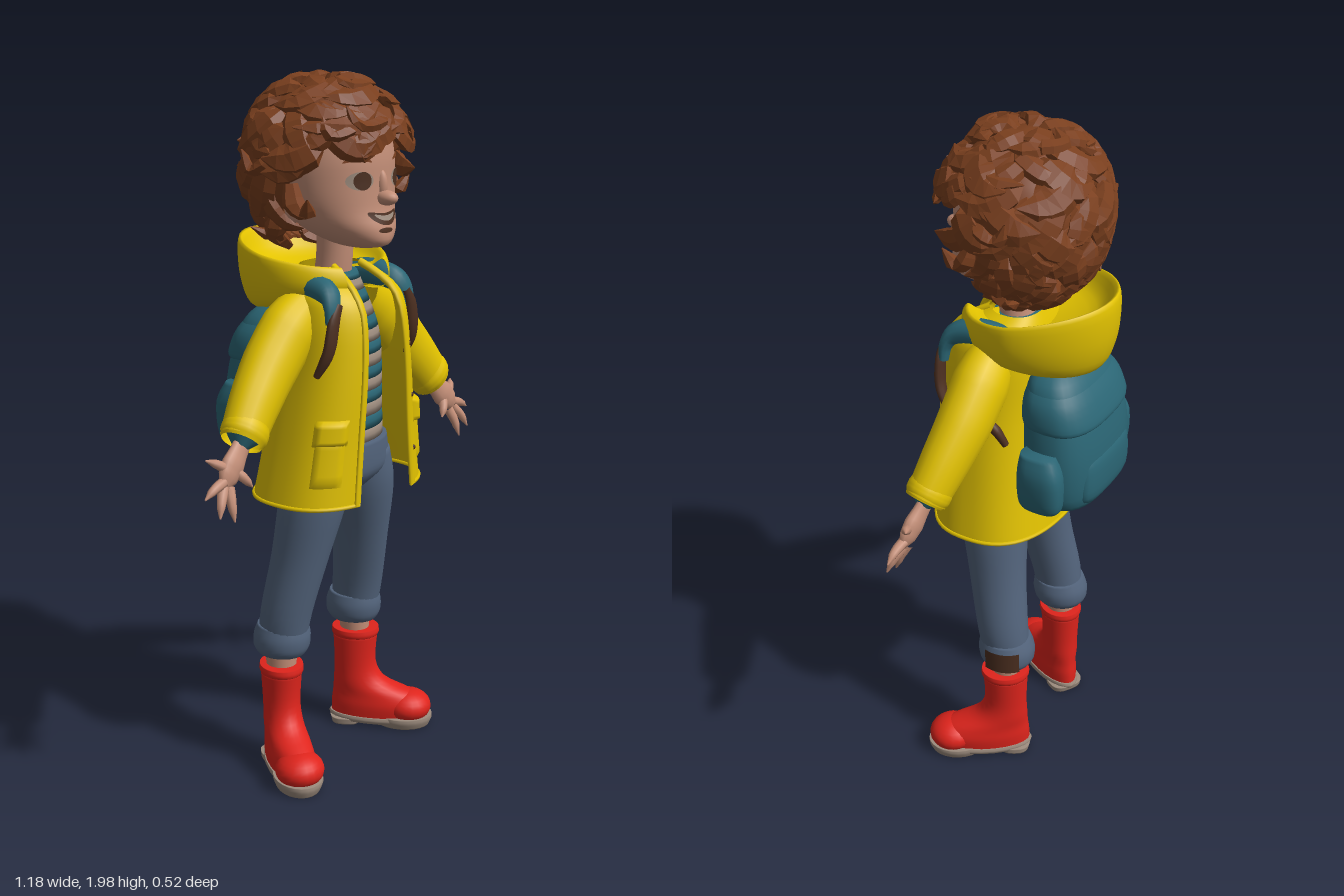
import * as THREE from 'three';
import { mergeVertices, mergeGeometries } from 'three/addons/utils/BufferGeometryUtils.js';

const { lerp, clamp, smoothstep } = THREE.MathUtils;
const PI = Math.PI, sin = Math.sin, cos = Math.cos;
const V = (x, y, z) => new THREE.Vector3(x, y, z);
const pow = (s, e) => Math.sign(s) * Math.abs(s) ** e;

function paint(name, color, side = THREE.FrontSide) {
  const m = new THREE.MeshStandardMaterial({ color, side });
  m.name = name;
  return m;
}

// Weld the seams and smooth the normals
function finish(g) {
  g.deleteAttribute('uv');
  g.deleteAttribute('normal');
  const out = mergeVertices(g, 1e-4);
  out.computeVertexNormals();
  return out;
}

// Surface from a rule; u runs upward, v runs anticlockwise seen from above
function grid(nu, nv, fn) {
  const pos = [], idx = [], w = nv + 1;
  for (let i = 0; i <= nu; i++) for (let j = 0; j <= nv; j++) pos.push(...fn(i / nu, j / nv).toArray());
  for (let i = 0; i < nu; i++) for (let j = 0; j < nv; j++) {
    const a = i * w + j;
    idx.push(a, a + 1, a + w, a + 1, a + w + 1, a + w);
  }
  const g = new THREE.BufferGeometry();
  g.setAttribute('position', new THREE.Float32BufferAttribute(pos, 3));
  g.setIndex(idx);
  return finish(g);
}

// Smooth interpolation through a list of stations
function at(S, t) {
  const n = S.length - 1, f = clamp(t, 0, 1) * n, i = Math.min(Math.floor(f), n - 1), k = f - i;
  const p = (q) => S[clamp(q, 0, n)];
  return S[0].map((_, c) => {
    const a = p(i - 1)[c], b = p(i)[c], d = p(i + 1)[c], e = p(i + 2)[c];
    const m0 = (d - a) / 2, m1 = (e - b) / 2;
    return (2 * k ** 3 - 3 * k * k + 1) * b + (k ** 3 - 2 * k * k + k) * m0 + (3 * k * k - 2 * k ** 3) * d + (k ** 3 - k * k) * m1;
  });
}

// Closed body through level rings: [y, centre x, centre z, half width, half depth]
function column(S, { e = 1, t0 = 0, t1 = 1, n = 24, rows = (S.length - 1) * 4 } = {}) {
  return grid(rows + 2, n, (u, v) => {
    const r = Math.round(u * (rows + 2)), a = v * 2 * PI;
    const [y, cx, cz, rx, rz] = at(S, lerp(t0, t1, clamp((r - 1) / rows, 0, 1)));
    const k = r === 0 || r === rows + 2 ? 0 : 1;
    return V(cx + k * rx * pow(sin(a), e), y, cz + k * rz * pow(cos(a), e));
  });
}

// Tube with changing radius, flattened along one axis
function sweep(points, radii, { flat = 1, axis = V(0, 0, 1), seg = 14, sides = 12 } = {}) {
  const curve = new THREE.CatmullRomCurve3(points);
  const g = new THREE.TubeGeometry(curve, seg, 1, sides), p = g.attributes.position, q = V();
  for (let i = 0; i < p.count; i++) {
    const t = Math.floor(i / (sides + 1)) / seg, f = t * (radii.length - 1), k = Math.min(Math.floor(f), radii.length - 2);
    const c = curve.getPointAt(t);
    q.fromBufferAttribute(p, i).sub(c).multiplyScalar(lerp(radii[k], radii[k + 1], f - k));
    q.addScaledVector(axis, -q.dot(axis) * (1 - flat)).add(c);
    p.setXYZ(i, q.x, q.y, q.z);
  }
  return finish(g);
}

function mirrored(g) {
  const m = g.clone().scale(-1, 1, 1), a = m.index.array;
  for (let i = 0; i < a.length; i += 3) [a[i], a[i + 1]] = [a[i + 1], a[i]];
  m.computeVertexNormals();
  return m;
}

export function createModel() {
  const model = new THREE.Group();
  const skin = paint('skin', 0xc48f78), hairBrown = paint('hair brown', 0x7a3f1e, THREE.DoubleSide);
  const yellow = paint('coat yellow', 0xe2c200, THREE.DoubleSide), teal = paint('teal', 0x2b6675);
  const denim = paint('denim', 0x53647c), red = paint('boot red', 0xdf241c);
  const tan = paint('tan', 0x9d8c7e), dark = paint('dark brown', 0x4c2f20);
  const add = (name, geo, mat) => {
    const m = new THREE.Mesh(geo, mat);
    m.name = name;
    model.add(m);
  };
  const pair = (name, geo, mat) => {
    add('left ' + name, geo, mat);
    add('right ' + name, mirrored(geo), mat);
  };
  const ball = (x, y, z, rx, ry, rz) => finish(new THREE.SphereGeometry(1, 20, 14).scale(rx, ry, rz).translate(x, y, z));

  // Boots, toes turned out
  const place = (g) => g.rotateY(0.55).translate(0.174, 0, -0.008);
  pair('boot', place(column([[0.025, 0, 0.075, 0.06, 0.148], [0.065, 0, 0.078, 0.064, 0.15], [0.1, 0, 0.06, 0.06, 0.128],
    [0.14, 0, 0.016, 0.056, 0.082], [0.2, 0, 0, 0.054, 0.064], [0.305, 0, 0, 0.06, 0.069]])), red);
  pair('boot toe', place(ball(0, 0.058, 0.165, 0.071, 0.05, 0.072)), red);
  pair('boot rim', place(column([[0.292, 0, 0, 0.061, 0.07], [0.302, 0, 0, 0.064, 0.073], [0.316, 0, 0, 0.062, 0.071]])), red);
  pair('sole', place(column([[0.012, 0, 0.08, 0.062, 0.155], [0.022, 0, 0.08, 0.066, 0.16], [0.032, 0, 0.08, 0.064, 0.157]])), tan);
  pair('heel', place(column([[0, 0, -0.025, 0.052, 0.045], [0.02, 0, -0.025, 0.054, 0.05]], { e: 0.7 })), tan);
  pair('tread', place(column([[0, 0, 0.15, 0.062, 0.082], [0.02, 0, 0.15, 0.07, 0.09], [0.034, 0, 0.15, 0.07, 0.09]])), tan);

  // Ankles, trousers and rolled cuffs
  pair('ankle', column([[0.28, 0.172, -0.01, 0.042, 0.044], [0.4, 0.17, -0.01, 0.046, 0.048]]), skin);
  pair('trouser leg', column([[0.37, 0.167, -0.01, 0.064, 0.072], [0.48, 0.165, 0.005, 0.072, 0.077], [0.65, 0.138, 0.035, 0.078, 0.086],
    [0.82, 0.108, 0.058, 0.094, 0.1], [0.93, 0.085, 0.06, 0.09, 0.1]]), denim);
  pair('trouser cuff', column([[0.352, 0.168, -0.012, 0.066, 0.072], [0.372, 0.168, -0.012, 0.078, 0.083], [0.405, 0.167, -0.01, 0.08, 0.085], [0.44, 0.166, -0.007, 0.07, 0.076]]), denim);
  add('cuff patch', grid(4, 8, (u, v) => {
    const a = lerp(1.25, 2.5, v);
    return V(0.168 + 0.084 * sin(a), lerp(0.362, 0.43, u), -0.011 + 0.089 * cos(a));
  }), dark);
  add('trouser waist', column([[0.84, 0, 0.06, 0.09, 0.08], [0.88, 0, 0.06, 0.185, 0.11], [0.93, 0, 0.06, 0.18, 0.117], [0.975, 0, 0.06, 0.17, 0.117]]), denim);

  // Striped shirt, one band per stripe, teal at the collar
  const shirt = [[0.92, 0, 0.06, 0.165, 0.1], [1.1, 0, 0.058, 0.15, 0.108], [1.28, 0, 0.05, 0.145, 0.105], [1.45, 0, 0.037, 0.075, 0.066]];
  for (let i = 0; i < 16; i++) add('shirt stripe', column(shirt, { t0: i / 16, t1: (i + 1) / 16, rows: 2 }), i % 2 ? teal : tan);
  add('neck', column([[1.4, 0, 0.03, 0.06, 0.055], [1.48, 0, 0.045, 0.052, 0.05], [1.6, 0, 0.05, 0.052, 0.055]]), skin);

  // Open coat: [y, centre z, half width, half depth, half opening]
  const coatRings = [[0.835, 0.06, 0.268, 0.183, 0.12], [1.0, 0.07, 0.235, 0.17, 0.105], [1.2, 0.08, 0.2, 0.16, 0.09],
    [1.35, 0.075, 0.185, 0.15, 0.08], [1.42, 0.06, 0.165, 0.12, 0.075], [1.47, 0.03, 0.09, 0.07, 0.055]];
  const coatEdge = (u) => { const r = at(coatRings, u); return Math.asin((r[4] / r[2]) ** 1.25); };
  const coat = (u, a, off = 0) => {
    const [y, cz, rx, rz] = at(coatRings, u);
    return V((rx + off) * pow(sin(a), 0.8), y, cz + (rz + off) * pow(cos(a), 0.8));
  };
  add('coat body', grid(24, 48, (u, v) => { const a = coatEdge(u); return coat(u, lerp(a, 2 * PI - a, v)); }), yellow);
  const steps = (n, fn) => Array.from({ length: n + 1 }, (_, i) => fn(i / n));
  pair('coat placket', sweep(steps(8, (t) => coat(t, coatEdge(t) + 0.03)), [0.012, 0.012], { flat: 0.5, seg: 20, sides: 8 }), yellow);
  add('coat hem', sweep(steps(24, (t) => coat(0.005, lerp(coatEdge(0), 2 * PI - coatEdge(0), t))), [0.006, 0.006], { seg: 60, sides: 6 }), yellow);
  const pad = (u0, u1, a0, a1, h) => grid(8, 8, (u, v) => {
    const edge = Math.min(u, 1 - u, v, 1 - v);
    return coat(lerp(u0, u1, u), lerp(a0, a1, v), h * Math.min(1, edge * 8));
  });
  pair('coat pocket', pad(0.09, 0.24, 0.66, 1.15, 0.008), yellow);
  pair('pocket flap', pad(0.21, 0.28, 0.62, 1.2, 0.016), yellow);
  for (const u of [0.14, 0.3, 0.46]) {
    const p = coat(u, coatEdge(u) + 0.1, 0.004);
    add('coat button', ball(p.x, p.y, p.z, 0.007, 0.007, 0.005), dark);
  }

  // Turned-down pointed hood: rows of [half width, front z, back z, front y, back y]
  const hood = [[0.09, 0.1, -0.08, 1.41, 1.36], [0.175, 0.165, -0.2, 1.405, 1.33], [0.21, 0.185, -0.245, 1.435, 1.42],
    [0.212, 0.165, -0.243, 1.475, 1.545], [0.17, 0.13, -0.18, 1.46, 1.47], [0.075, 0.085, -0.03, 1.46, 1.42]];
  add('hood', grid(25, 40, (u, v) => {
    const a = lerp(0.45, 2 * PI - 0.45, v), [rx, zf, zb, yf, yb] = at(hood, u), c = cos(a) < 0 ? pow(cos(a), 1.3) : cos(a);
    return V(rx * sin(a), lerp(yf, yb, (1 - c) / 2), (zf + zb) / 2 + (zf - zb) / 2 * c);
  }), yellow);

  // Sleeves, shirt cuffs and hands
  pair('sleeve', sweep([V(0.1, 1.37, 0.05), V(0.18, 1.32, 0.045), V(0.27, 1.235, 0.048), V(0.36, 1.14, 0.064), V(0.425, 1.063, 0.08)],
    [0.075, 0.09, 0.086, 0.077, 0.066], { seg: 20, sides: 18, flat: 0.84 }), yellow);
  pair('sleeve band', sweep([V(0.395, 1.099, 0.074), V(0.43, 1.058, 0.082)], [0.066, 0.07, 0.069, 0.06], { seg: 9, sides: 18, flat: 0.88 }), yellow);
  pair('shirt cuff', sweep([V(0.38, 1.115, 0.07), V(0.438, 1.048, 0.084)], [0.055, 0.05, 0.047, 0.02], { seg: 9 }), teal);
  pair('palm', sweep([V(0.42, 1.06, 0.08), V(0.47, 1.01, 0.09), V(0.525, 0.955, 0.1)], [0.03, 0.033, 0.04, 0.034, 0.008], { flat: 0.55, seg: 12 }), skin);
  const fingers = [[0.49, 1.0, 0.548, 1.035, 0.065], [0.515, 0.975, 0.588, 0.945, 0.1], [0.515, 0.96, 0.56, 0.892, 0.125],
    [0.495, 0.955, 0.51, 0.872, 0.13], [0.465, 0.99, 0.43, 0.945, 0.12]];
  for (const [x0, y0, x1, y1, z] of fingers) {
    pair('finger', sweep([V(x0, y0, 0.097), V((x0 + x1) / 2 + 0.003, (y0 + y1) / 2 + 0.004, (z + 0.1) / 2), V(x1, y1, z)],
      [0.015, 0.014, 0.011, 0.002], { seg: 9, sides: 8 }), skin);
  }

  // Backpack with pockets, lid and straps
  add('backpack', column([[0.925, 0, -0.15, 0.1, 0.06], [0.965, 0, -0.148, 0.175, 0.1], [1.1, 0, -0.145, 0.19, 0.11],
    [1.24, 0, -0.132, 0.172, 0.098], [1.32, 0, -0.115, 0.14, 0.075], [1.365, 0, -0.1, 0.06, 0.03]], { e: 0.75, n: 32 }), teal);
  add('backpack lid', column([[1.19, 0, -0.138, 0.172, 0.105], [1.21, 0, -0.138, 0.184, 0.112], [1.28, 0, -0.125, 0.168, 0.094], [1.35, 0, -0.105, 0.1, 0.05]], { e: 0.75, n: 32 }), teal);
  add('backpack front pocket', column([[0.945, 0, -0.215, 0.09, 0.02], [0.985, 0, -0.225, 0.13, 0.035], [1.08, 0, -0.225, 0.125, 0.036], [1.12, 0, -0.22, 0.1, 0.02]], { e: 0.75 }), teal);
  pair('backpack side pocket', column([[0.955, 0.18, -0.14, 0.025, 0.04], [0.985, 0.195, -0.14, 0.04, 0.062], [1.08, 0.2, -0.14, 0.042, 0.065], [1.14, 0.19, -0.13, 0.032, 0.05]], { e: 0.75 }), teal);
  pair('shoulder strap', sweep([V(0.12, 1.4, -0.05), V(0.135, 1.43, 0.05), coat(0.78, 0.95, 0.006), coat(0.68, 0.95, 0.01), coat(0.58, 1.0, 0.008)],
    [0.034, 0.036, 0.038, 0.034, 0.022], { flat: 0.6, seg: 30 }), teal);
  pair('strap webbing', sweep([coat(0.7, 0.8, 0.014), coat(0.6, 0.95, 0.016), coat(0.48, 1.06, 0.016), coat(0.4, 1.25, 0.01)], [0.012, 0.021, 0.022, 0.02, 0.012], { flat: 0.6 }), dark);
  pair('strap end', sweep([coat(0.42, 1.75, 0.004), coat(0.37, 2.0, 0.006), coat(0.33, 2.15, 0.004)], [0.008, 0.015, 0.01], {}), dark);

  // Head and ears
  const head = [[1.522, 0, 0.14, 0.012, 0.012], [1.535, 0, 0.132, 0.06, 0.088], [1.575, 0, 0.092, 0.115, 0.138], [1.63, 0, 0.064, 0.148, 0.15],
    [1.7, 0, 0.052, 0.16, 0.157], [1.78, 0, 0.042, 0.16, 0.164], [1.86, 0, 0.03, 0.135, 0.148], [1.91, 0, 0.03, 0.02, 0.02]];
  add('head', column(head, { n: 36 }), skin);
  pair('ear', ball(0.168, 1.64, 0.045, 0.024, 0.042, 0.03), skin);
  add('nose', ball(0, 1.662, 0.222, 0.024, 0.02, 0.035), skin);
  add('nose bridge', ball(0, 1.695, 0.204, 0.015, 0.04, 0.018), skin);

  // Painted face details laid on the head surface
  const faceZ = (x, y) => {
    let lo = 0, hi = 1;
    for (let i = 0; i < 24; i++) { const m = (lo + hi) / 2; if (at(head, m)[0] < y) lo = m; else hi = m; }
    const [, , cz, rx, rz] = at(head, lo);
    return cz + rz * Math.sqrt(Math.max(0, 1 - (x / rx) ** 2));
  };
  const mark = (cx, cy, rx, ry, off, bend = 0) => grid(4, 24, (u, v) => {
    const a = v * 2 * PI, k = 1 - u, x = cx + k * rx * cos(a), y = cy + k * ry * sin(a) + bend * (k * cos(a)) ** 2;
    return V(x, y, faceZ(x, y) + off);
  });
  pair('eye white', mark(0.074, 1.71, 0.036, 0.024, 0.003), tan);
  pair('iris', mark(0.07, 1.71, 0.024, 0.024, 0.005), dark);
  pair('eyebrow', mark(0.08, 1.768, 0.036, 0.006, 0.004, -0.01), hairBrown);
  add('mouth', mark(0, 1.606, 0.06, 0.016, 0.003, 0.018), dark);
  add('teeth', mark(0, 1.609, 0.042, 0.007, 0.005, 0.011), tan);
  add('lower lip shade', mark(-0.01, 1.578, 0.026, 0.007, 0.003), dark);

  // Hair cap with a high side-parted front edge, covered in tousled locks
  let seed = 11;
  const rnd = () => (seed = (seed * 16807) % 2147483647) / 2147483647;
  const hairAt = (phi, a, k = 1) => V(0.212 * k * sin(phi) * sin(a), 1.76 + (phi < PI / 2 ? 0.2 : 0.25) * k * cos(phi), 0.015 + 0.2 * k * sin(phi) * cos(a));
  const hairline = (a) => lerp(1.24 - 0.14 * sin(a), 2.5, smoothstep(Math.acos(cos(a)), 0.95, 1.95));
  add('hair cap', grid(16, 40, (u, v) => hairAt(hairline(v * 2 * PI) * (1 - u), v * 2 * PI)), hairBrown);
  const locks = [];
  for (let phi = 0.14; phi < 2.5; phi += 0.23) {
    const n = Math.round(4 + 13 * sin(phi));
    for (let i = 0; i < n; i++) {
      const a = (i + rnd() * 0.9) / n * 2 * PI + phi, end = hairline(a) + 0.1 + rnd() * 0.15, wide = 0.75 + rnd() * 0.5;
      if (phi > end - 0.22) continue;
      const tip = Math.min(phi + 0.4 + rnd() * 0.3, end), turn = rnd() < 0.72 ? -1 : 1;
      const da = turn * (0.25 + rnd() * 0.35) / Math.max(0.45, sin(phi)), lift = 1.05 + rnd() * 0.2 * sin(tip);
      const pts = [hairAt(phi, a, 0.95), hairAt(lerp(phi, tip, 0.4), a + da * 0.05, 1.07), hairAt(lerp(phi, tip, 0.85), a + da * 0.5, 1.1), hairAt(tip - 0.05, a + da, lift)];
      const axis = pts[1].clone().sub(V(0, 1.76, 0.015)).normalize();
      locks.push(sweep(pts, [0.012, 0.038, 0.042, 0.03, 0.002].map((r) => r * wide), { flat: 0.5, axis, seg: 8, sides: 6 }).toNonIndexed());
    }
  }
  // Loose curls: [polar angle, heading, heading change, tip reach]
  for (const [phi, a, da, reach] of [[0.35, 0.3, -0.9, 1.16], [0.3, 2.2, 1.0, 1.17], [0.9, 0.1, -0.7, 1.24], [1.0, -0.5, -0.4, 1.2],
    [1.3, 1.5, 0.4, 1.24], [1.4, -1.5, -0.4, 1.26], [1.7, 1.4, -0.3, 1.25], [1.8, -1.35, 0.3, 1.28], [2.1, 1.6, 0.3, 1.3], [2.1, -1.7, -0.3, 1.3]]) {
    const pts = [hairAt(phi, a, 0.98), hairAt(phi + 0.2, a + da * 0.3, 1.1), hairAt(phi + 0.25, a + da * 0.8, 1.15), hairAt(phi + 0.05, a + da, reach)];
    locks.push(sweep(pts, [0.02, 0.032, 0.026, 0.002], { flat: 0.6, axis: V(0, 1, 0), seg: 9, sides: 6 }).toNonIndexed());
  }
  const hair = mergeGeometries(locks);
  hair.computeVertexNormals();
  add('hair locks', hair, hairBrown);
  return model;
}
